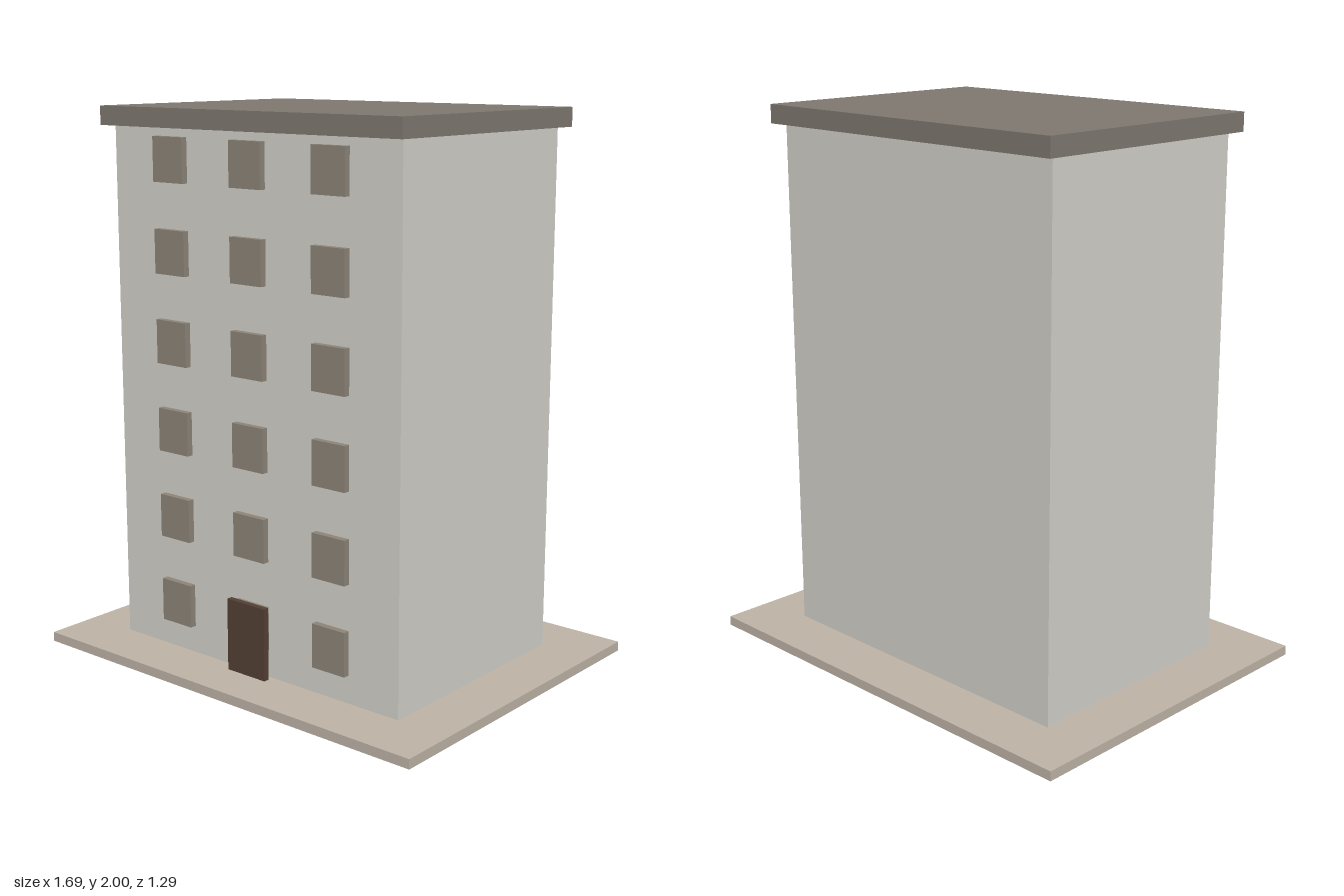
import * as THREE from 'three';

const paint = (color) => new THREE.MeshStandardMaterial({ color });

export function createModel() {
  const model = new THREE.Group();
  model.name = 'apartmentBlock';

  const wall = paint(0xd3d1ca);
  const roofing = paint(0x7f7871);
  const paving = paint(0xbeb4a6);
  const pane = paint(0x8d8579);
  const wood = paint(0x544035);

  // Box given by its centre in x and z and its bottom in y
  function box(name, material, [w, h, d], [x, bottom, z], parent = model) {
    const mesh = new THREE.Mesh(new THREE.BoxGeometry(w, h, d), material);
    mesh.name = name;
    mesh.position.set(x, bottom + h / 2, z);
    parent.add(mesh);
    return mesh;
  }

  const groundTop = 0.035;
  const roofBottom = 1.932;
  const wallFront = 0.438;

  // Plot, building body and overhanging flat roof
  box('groundSlab', paving, [1.69, groundTop, 1.286], [0, 0, 0]);
  box('walls', wall, [1.286, roofBottom - groundTop, 2 * wallFront], [0, groundTop, 0]);
  box('roof', roofing, [1.346, 2 - roofBottom, 0.964], [0, roofBottom, 0]);

  // Six floors of three raised windows on the front
  const windows = new THREE.Group();
  windows.name = 'windows';
  model.add(windows);
  for (let floor = 0; floor < 6; floor++) {
    for (const column of [-1, 0, 1]) {
      box('window', pane, [0.142, 0.158, 0.024],
        [column * 0.361, 0.136 + floor * 0.3215, wallFront + 0.012], windows);
    }
  }

  // Front door, set ahead of the middle ground-floor window
  box('frontDoor', wood, [0.174, 0.265, 0.022], [0, groundTop, 0.47]);

  return model;
}
